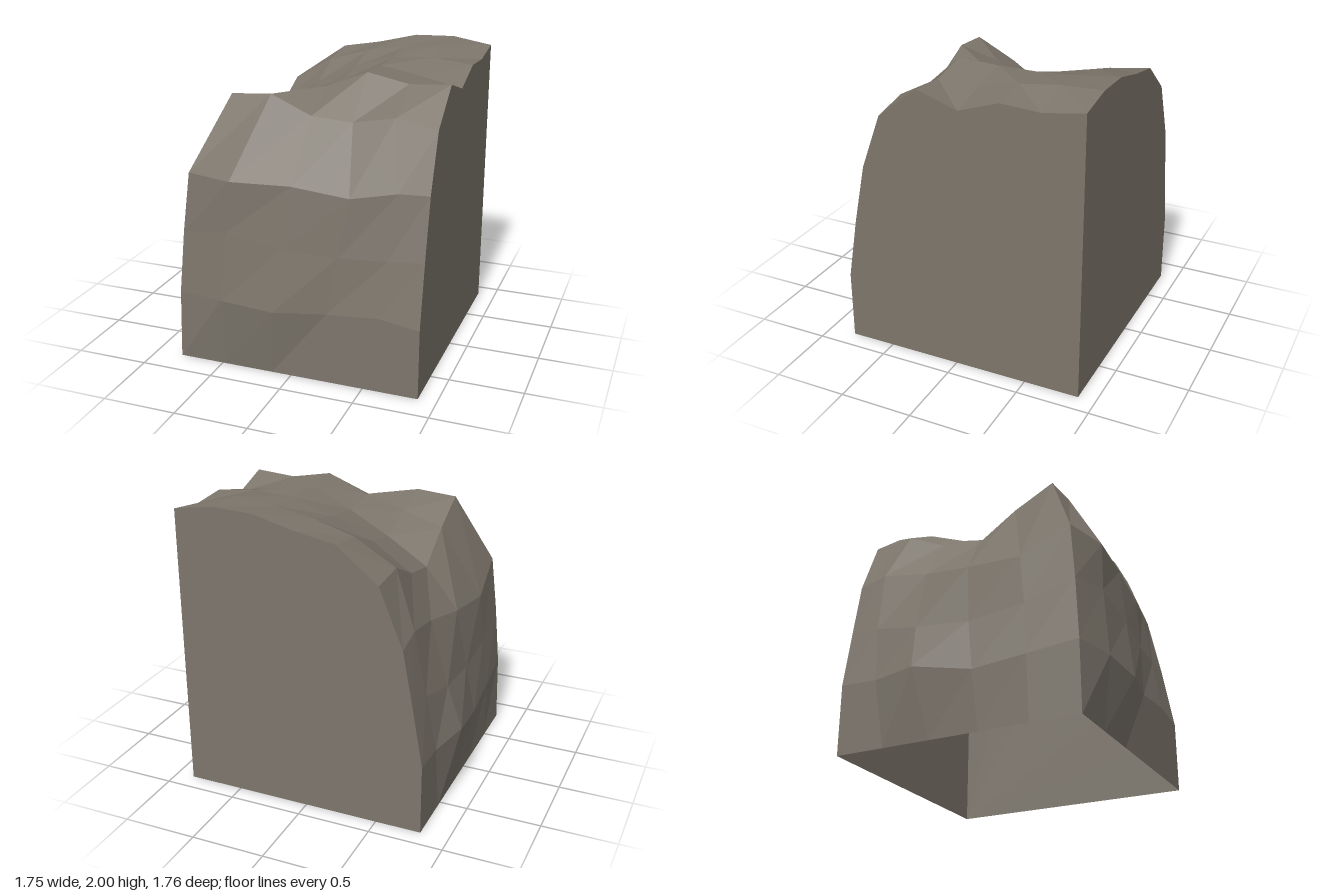
import * as THREE from 'three';

const BACK = -0.88, SIDE = 0.875, BASE = 0.81, N = 5;

// Plateau grid lines and heights (rows run back to front, columns run -x to +x)
const topX = [-0.51, -0.235, 0.04, 0.32, 0.6, SIDE];
const topZ = [BACK, -0.6, -0.33, -0.05, 0.23, 0.51];
const topY = [
  [1.65, 1.87, 1.92, 1.99, 2.0, 1.955],
  [1.67, 1.83, 1.91, 1.96, 1.99, 1.91],
  [1.54, 1.72, 1.85, 1.94, 1.955, 1.925],
  [1.485, 1.66, 1.81, 1.94, 1.89, 1.83],
  [1.67, 1.76, 1.84, 1.955, 1.9, 1.92],
  [1.81, 1.83, 1.71, 1.695, 1.75, 1.7],
];

// Weathered ledge lines, from the back of the -x cliff round the corner to the +x end of the front cliff
const ledges = [
  [[-0.81, 0.48, BACK], [-0.81, 0.47, -0.62], [-0.88, 0.48, -0.31], [-0.84, 0.4, 0.1], [-0.82, 0.44, 0.46],
    [-0.8, 0.48, 0.8],
    [-0.47, 0.49, 0.86], [-0.1, 0.475, 0.88], [0.25, 0.49, 0.81], [0.6, 0.52, 0.81], [SIDE, 0.48, 0.81]],
  [[-0.74, 0.88, BACK], [-0.75, 0.87, -0.67], [-0.785, 0.8, -0.35], [-0.785, 0.76, 0.04], [-0.785, 0.8, 0.43],
    [-0.77, 0.91, 0.77],
    [-0.44, 0.96, 0.82], [-0.05, 0.9, 0.82], [0.32, 0.88, 0.78], [0.64, 0.89, 0.75], [SIDE, 0.91, 0.735]],
  [[-0.67, 1.26, BACK], [-0.67, 1.31, -0.69], [-0.66, 1.25, -0.36], [-0.72, 1.19, -0.01], [-0.76, 1.15, 0.39],
    [-0.735, 1.31, 0.73],
    [-0.41, 1.31, 0.81], [0, 1.315, 0.77], [0.38, 1.27, 0.74], [0.68, 1.32, 0.68], [SIDE, 1.32, 0.65]],
];

// Flat-shaded mesh from a list of triangle corners
function facetMesh(name, corners, material) {
  const geometry = new THREE.BufferGeometry();
  geometry.setAttribute('position', new THREE.Float32BufferAttribute(corners.flat(), 3));
  geometry.computeVertexNormals();
  const mesh = new THREE.Mesh(geometry, material);
  mesh.name = name;
  return mesh;
}

// Sheet of quads between successive rows of points, bottom row first
function sheet(rows) {
  const out = [];
  for (let r = 0; r < rows.length - 1; r++) {
    for (let c = 0; c < rows[r].length - 1; c++) {
      const a = rows[r][c], b = rows[r][c + 1], d = rows[r + 1][c], e = rows[r + 1][c + 1];
      out.push(a, b, e, a, e, d);
    }
  }
  return out;
}

// Triangles joining one point to every segment of an outline
function fan(centre, outline) {
  const out = [];
  for (let i = 0; i < outline.length - 1; i++) out.push(centre, outline[i], outline[i + 1]);
  return out;
}

export function createModel() {
  const rock = new THREE.MeshStandardMaterial({ color: 0x7d766c });
  rock.name = 'rock';
  rock.flatShading = true;
  rock.side = THREE.DoubleSide;

  const plateau = topZ.map((z, r) => topX.map((x, c) => [x, topY[r][c], z]));

  // Straight foot line and the rim shared with the plateau
  const foot = [], rim = [];
  for (let i = 0; i <= 2 * N; i++) {
    const lerp = THREE.MathUtils.lerp;
    foot.push(i <= N ? [-BASE, 0, lerp(BACK, BASE, i / N)] : [lerp(-BASE, SIDE, (i - N) / N), 0, BASE]);
    rim.push(i <= N ? plateau[i][0] : plateau[N][i - N]);
  }
  const cliff = [foot, ...ledges, rim];
  const part = (from, to) => cliff.map((row) => row.slice(from, to));

  // Flat cut walls
  const cutCorner = [SIDE, 0, BACK];
  const backOutline = [...cliff.map((row) => row[0]), ...plateau[0].slice(1)];
  const sideOutline = [...cliff.map((row) => row[2 * N]), ...plateau.map((row) => row[N]).reverse().slice(1)];

  const group = new THREE.Group();
  group.name = 'cliffCorner';
  group.add(
    facetMesh('sideCliff', sheet(part(0, N + 1)), rock),
    facetMesh('frontCliff', sheet(part(N, 2 * N + 1)), rock),
    facetMesh('plateau', sheet([...plateau].reverse()), rock),
    facetMesh('backWall', fan(cutCorner, backOutline), rock),
    facetMesh('sideWall', fan(cutCorner, sideOutline.reverse()), rock),
  );
  return group;
}
